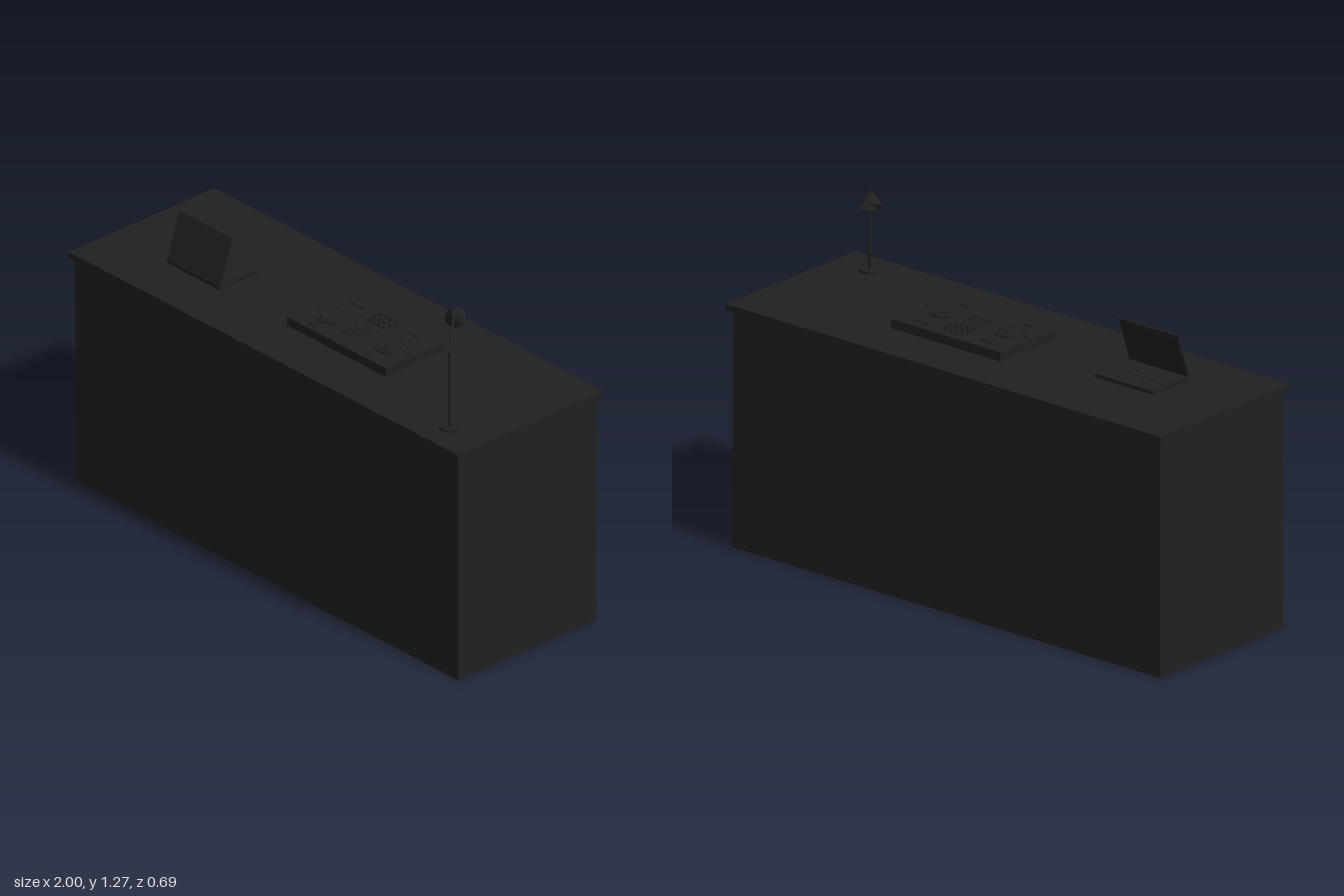
import * as THREE from 'three';

export function createModel() {
  const root = new THREE.Group();
  root.name = 'performanceDesk';
  const charcoal = new THREE.MeshStandardMaterial({ color: 0x202020, side: THREE.DoubleSide });
  charcoal.name = 'charcoal';

  const add = (parent, name, geometry, x, y, z) => {
    const mesh = new THREE.Mesh(geometry, charcoal);
    mesh.name = name;
    mesh.position.set(x, y, z);
    parent.add(mesh);
    return mesh;
  };
  // box and disc are placed by the centre of their underside
  const box = (parent, name, w, h, d, x, y, z) =>
    add(parent, name, new THREE.BoxGeometry(w, h, d), x, y + h / 2, z);
  const disc = (parent, name, r, h, x, y, z, sides = 32) =>
    add(parent, name, new THREE.CylinderGeometry(r, r, h, sides), x, y + h / 2, z);
  const group = (name, x, y, z) => {
    const g = new THREE.Group();
    g.name = name;
    g.position.set(x, y, z);
    root.add(g);
    return g;
  };
  const rod = (parent, name, a, b, r) => {
    const mesh = add(parent, name, new THREE.CylinderGeometry(r, r, a.distanceTo(b), 12), 0, 0, 0);
    mesh.position.copy(a).lerp(b, 0.5);
    mesh.quaternion.setFromUnitVectors(new THREE.Vector3(0, 1, 0), b.clone().sub(a).normalize());
    return mesh;
  };

  // Desk: closed cabinet under an overhanging top
  const TOP = 0.904;
  box(root, 'deskBody', 1.966, 0.88, 0.654, 0, 0, 0);
  box(root, 'deskTop', 2, TOP - 0.88, 0.688, 0, 0.88, 0);

  // Laptop: keyboard faces the back, lid tilts over it
  const laptop = group('laptop', -0.575, TOP, 0.048);
  box(laptop, 'laptopBase', 0.27, 0.014, 0.195, 0, 0, 0);
  box(laptop, 'keyboard', 0.23, 0.002, 0.085, 0, 0.014, 0.025);
  box(laptop, 'trackpad', 0.085, 0.001, 0.05, 0, 0.014, -0.058);
  const lid = new THREE.Group();
  lid.name = 'lid';
  lid.position.set(0, 0.01, 0.094);
  lid.rotation.x = -0.33;
  laptop.add(lid);
  box(lid, 'lidShell', 0.27, 0.183, 0.006, 0, 0, 0);
  box(lid, 'screen', 0.25, 0.16, 0.001, 0, 0.012, -0.0035);

  // Mixing controller with two decks and a central mixer
  const deck = group('controller', 0.16, TOP, -0.001);
  const H = 0.034;
  box(deck, 'controllerBody', 0.505, H, 0.293, 0, 0, 0);
  for (const s of [-1, 1]) {
    disc(deck, 'jogWheel', 0.06, 0.006, s * 0.15, H, 0.026);
    const ring = add(deck, 'jogRing', new THREE.TorusGeometry(0.042, 0.0025, 6, 32), s * 0.15, H + 0.006, 0.026);
    ring.rotation.x = Math.PI / 2;
    disc(deck, 'jogHub', 0.022, 0.009, s * 0.15, H, 0.026);
    box(deck, 'deckDisplay', 0.07, 0.003, 0.02, s * 0.15, H, -0.095);
    box(deck, 'deckButtons', 0.05, 0.003, 0.012, s * 0.15, H, 0.12);
    box(deck, 'pitchTrack', 0.008, 0.002, 0.09, s * 0.232, H, 0.02);
    box(deck, 'pitchFader', 0.016, 0.006, 0.01, s * 0.232, H, 0.02);
  }
  for (let col = 0; col < 4; col++) {
    const x = (col - 1.5) * 0.026;
    for (let row = 0; row < 3; row++) {
      const z = (row - 1) * 0.029;
      disc(deck, 'knob', 0.006, 0.012, x, H, z - 0.071, 16);
      box(deck, 'pad', 0.019, 0.003, 0.02, x, H, z + 0.04);
    }
  }

  // Desk lamp: round foot, post, slanted arm and bell shade
  const lamp = group('lamp', 0, 0, 0);
  const foot = new THREE.Vector3(0.835, TOP, 0.23);
  const elbow = new THREE.Vector3(0.835, 1.198, 0.23);
  const tip = new THREE.Vector3(0.715, 1.263, 0.1);
  disc(lamp, 'lampFoot', 0.037, 0.009, foot.x, TOP, foot.z);
  rod(lamp, 'lampPost', foot, elbow, 0.006);
  rod(lamp, 'lampArm', elbow, tip, 0.005);
  add(lamp, 'lampElbow', new THREE.SphereGeometry(0.006, 12, 8), elbow.x, elbow.y, elbow.z);
  const profile = [[0.004, 0], [0.012, -0.006], [0.023, -0.022], [0.033, -0.042], [0.037, -0.056]]
    .map(([r, y]) => new THREE.Vector2(r, y)).reverse();
  const shade = add(lamp, 'lampShade', new THREE.LatheGeometry(profile, 32), tip.x, tip.y, tip.z);
  shade.quaternion.setFromUnitVectors(new THREE.Vector3(0, -1, 0), new THREE.Vector3(-0.44, -0.72, -0.54).normalize());
  const bulb = new THREE.Vector3(0, -0.03, 0).applyQuaternion(shade.quaternion).add(tip);
  add(lamp, 'bulb', new THREE.SphereGeometry(0.013, 16, 12), bulb.x, bulb.y, bulb.z);

  return root;
}
